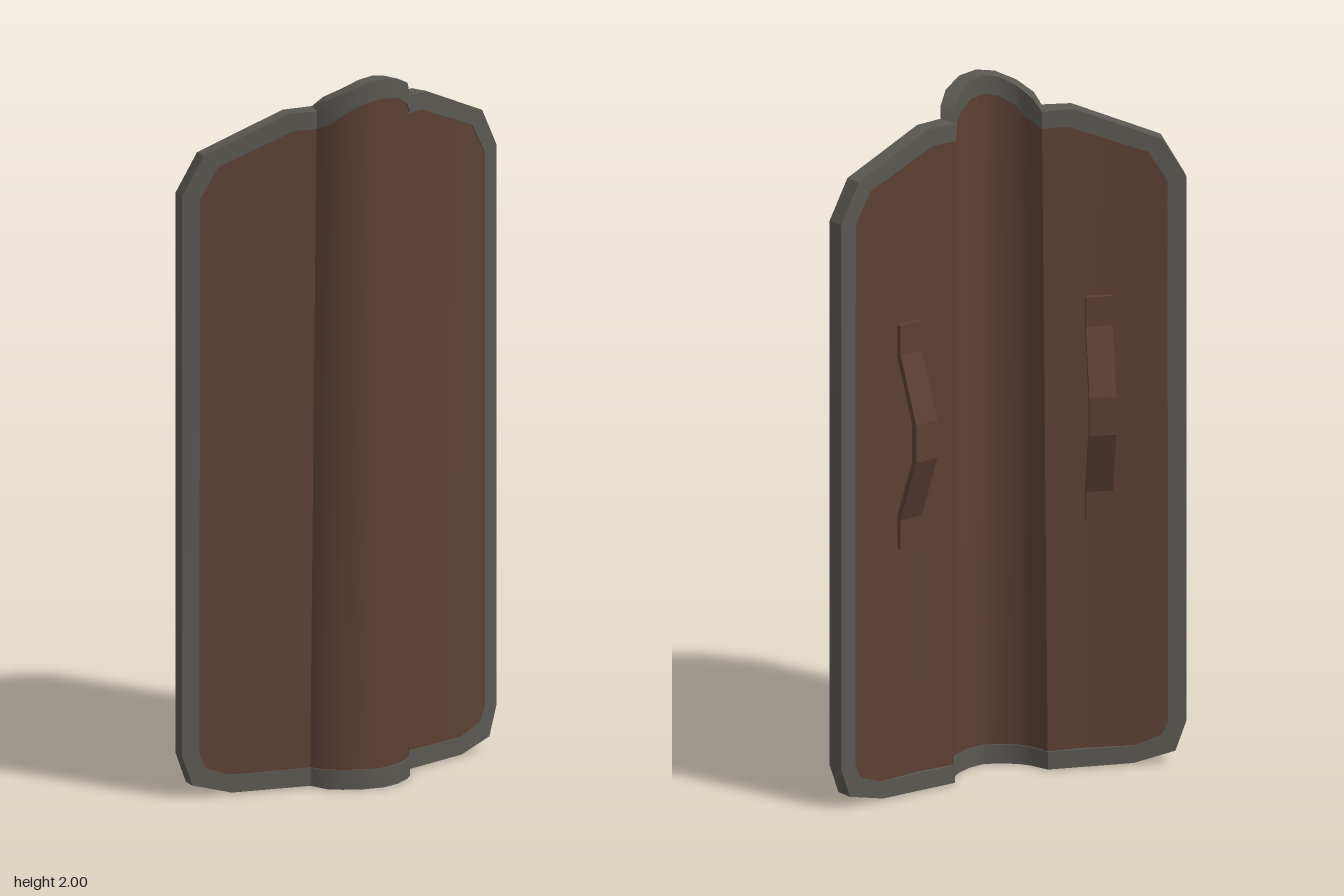
import * as THREE from 'three';
import { toCreasedNormals } from 'three/addons/utils/BufferGeometryUtils.js';

const wood = new THREE.MeshStandardMaterial({ color: 0x5c4033 });
wood.name = 'brown wood';
const iron = new THREE.MeshStandardMaterial({ color: 0x5a5852 });
iron.name = 'grey iron';

// Half cross-section: [front x, front z, back x, back z]
const SECTION = [
  [0, 0.135, 0, 0.083], [0.055, 0.125, 0.045, 0.073], [0.105, 0.098, 0.085, 0.05],
  [0.135, 0.07, 0.108, 0.028], [0.157, 0.025, 0.133, -0.033],
  [0.25, 0, 0.24, -0.045], [0.53, -0.075, 0.517, -0.125],
];
const GROOVE = 0.157, EDGE = 0.53;

// Rim outline, half, from top centre to bottom centre: [outer x, outer y, inner x, inner y]
const TOP = [
  [0, 2, 0, 1.945], [0.055, 1.992, 0.055, 1.937], [0.11, 1.968, 0.105, 1.912],
  [0.145, 1.94, 0.135, 1.88], [GROOVE, 1.91, GROOVE, 1.86], [0.235, 1.91, 0.22, 1.86],
  [0.47, 1.81, 0.43, 1.775], [EDGE, 1.7, 0.48, 1.69],
];
const BOTTOM = [
  [EDGE, 0.12, 0.48, 0.12], [0.5, 0.035, 0.46, 0.08], [0.385, 0.005, 0.39, 0.055],
  [GROOVE, 0.004, GROOVE, 0.055], [0.135, 0, 0.135, 0.055], [0.105, 0, 0.105, 0.055],
  [0.055, 0, 0.055, 0.055], [0, 0, 0, 0.055],
];

// Linear lookup in rows sorted by column k
function lookup(rows, k, x, col) {
  let i = 1;
  while (i < rows.length - 1 && x > rows[i][k]) i++;
  const a = rows[i - 1], b = rows[i];
  return THREE.MathUtils.mapLinear(x, a[k], b[k], a[col], b[col]);
}

// Point on the curved shield; t runs from 0 (front) to 1 (back)
function point(u, y, t) {
  const a = Math.abs(u);
  const lerp = THREE.MathUtils.lerp;
  const bump = a < GROOVE ? a / GROOVE : (EDGE - a) / (EDGE - GROOVE);
  const taper = (1 - y) * bump; // the ridge widens slightly downwards
  const x = lerp(a, lookup(SECTION, 0, a, 2), t) + 0.006 * taper;
  const z = lerp(lookup(SECTION, 0, a, 1), lookup(SECTION, 0, a, 3), t) - 0.008 * taper;
  return [Math.sign(u) * x, y, z];
}

function quadMesh(name, quads, material, crease) {
  const positions = [];
  for (const [a, b, c, d] of quads) positions.push(...a, ...b, ...c, ...a, ...c, ...d);
  const geometry = new THREE.BufferGeometry();
  geometry.setAttribute('position', new THREE.Float32BufferAttribute(positions, 3));
  geometry.computeVertexNormals();
  const mesh = new THREE.Mesh(toCreasedNormals(geometry, crease), material);
  mesh.name = name;
  return mesh;
}

// Closed band around the edge, slightly thicker than the board
function makeRim() {
  const half = [...TOP, ...BOTTOM];
  const mirrored = half.slice(1, -1).reverse().map(([a, b, c, d]) => [-a, b, -c, d]);
  const rings = [...half, ...mirrored].map(([ox, oy, ix, iy]) =>
    [point(ox, oy, 0), point(ix, iy, 0), point(ix, iy, 1), point(ox, oy, 1)]);
  const quads = [];
  rings.forEach((r, i) => {
    const s = rings[(i + 1) % rings.length];
    for (let k = 0; k < 4; k++) {
      const n = (k + 1) % 4;
      quads.push([r[k], r[n], s[n], s[k]]);
    }
  });
  return quadMesh('rim', quads, iron, 0.45);
}

// Wooden board with a central ridge, front and back skins
function makeBoard() {
  const bottomRows = [...BOTTOM].reverse();
  const half = [...new Set([...TOP, ...BOTTOM].map((p) => p[2]).concat(0.25))].sort((a, b) => a - b);
  const columns = [...half.slice(1).reverse().map((u) => -u), ...half];
  const quads = [];
  for (let i = 0; i < columns.length - 1; i++) {
    for (const t of [0.08, 0.92]) {
      const [l, r] = [columns[i], columns[i + 1]].map((u) => [
        point(u, lookup(bottomRows, 2, Math.abs(u), 3), t),
        point(u, lookup(TOP, 2, Math.abs(u), 3), t),
      ]);
      quads.push(t < 0.5 ? [l[0], r[0], r[1], l[1]] : [r[0], l[0], l[1], r[1]]);
    }
  }
  return quadMesh('board', quads, wood, 0.6);
}

// Bowed grip strap on the back of each wing
function makeStrap(side) {
  const arc = [[0.012, -0.325], [0.012, -0.24], [0.08, -0.055], [0.08, 0.055], [0.012, 0.24], [0.012, 0.325]];
  const under = arc.map(([h, y]) => [h - 0.018, y]).reverse();
  const shape = new THREE.Shape([...arc, ...under].map(([h, y]) => new THREE.Vector2(h, y)));
  const width = 0.075;
  const geometry = new THREE.ExtrudeGeometry(shape, { depth: width, bevelEnabled: false });
  geometry.translate(0, 0, -width / 2);
  const strap = new THREE.Mesh(geometry, wood);
  strap.name = side > 0 ? 'leftStrap' : 'rightStrap';
  strap.rotation.y = Math.PI / 2 + side * 0.27;
  strap.position.set(side * 0.285, 1.04, -0.055);
  return strap;
}

export function createModel() {
  const shield = new THREE.Group();
  shield.name = 'shield';
  shield.add(makeBoard(), makeRim(), makeStrap(1), makeStrap(-1));
  return shield;
}
